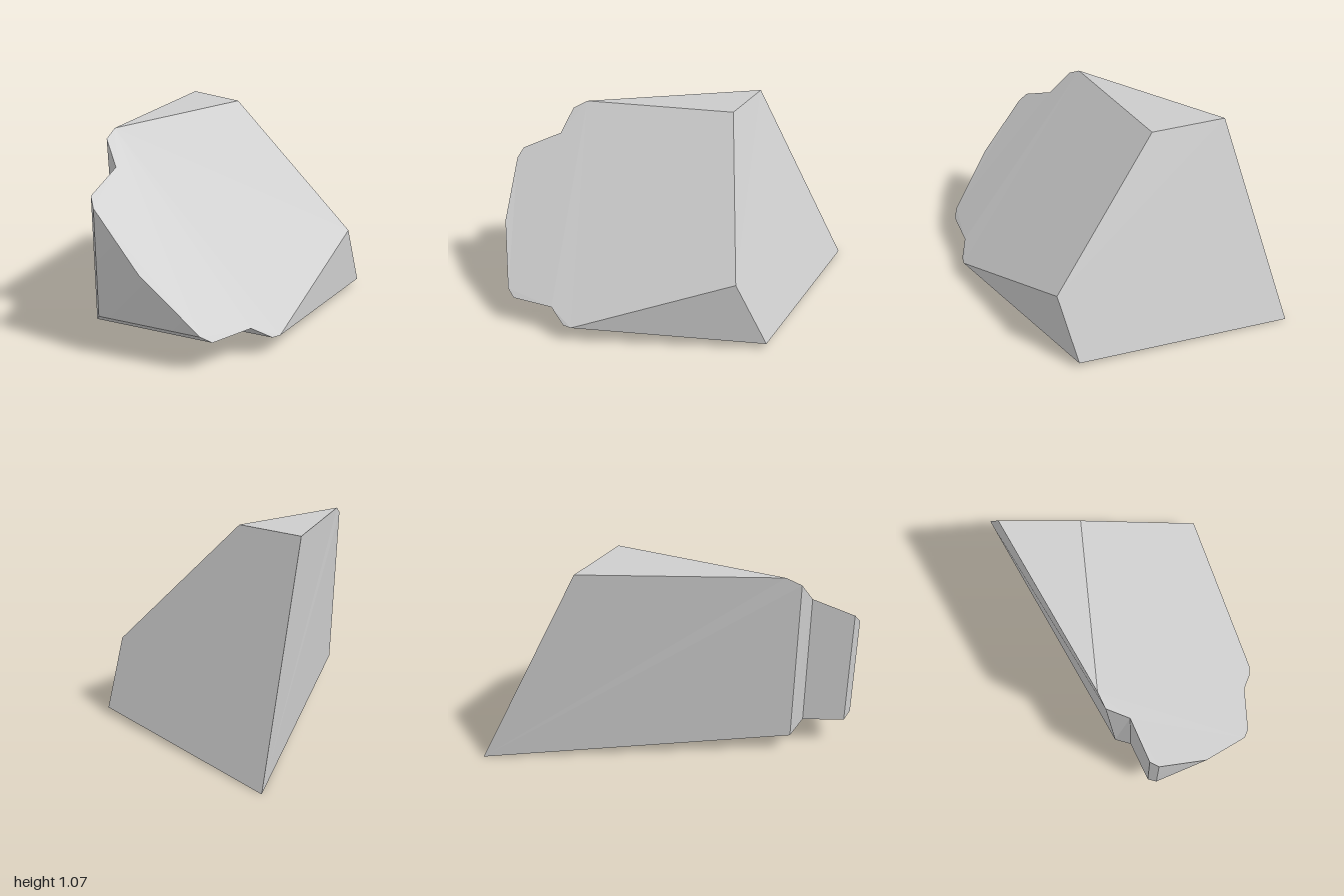
import * as THREE from 'three';

// Corner points, named by place.
const P = {
  backLow: [-0.54, 0.005, -1], backRight: [0.535, 0.035, -0.445],
  cutRight: [0.525, 0.385, -0.275], cutTop: [-0.165, 1.07, -0.28], backTop: [-0.54, 1.075, -0.46],
  // where the slanted cut crosses the block, shoulder, neck and tip
  a: [-0.46, 1.035, 0.55], b: [-0.457, 0.995, 0.63], c: [-0.362, 0.875, 0.7],
  d: [-0.362, 0.785, 0.92], e: [-0.327, 0.737, 0.955], tip: [-0.06, 0.46, 1],
  f: [0.23, 0.19, 0.955], g: [0.275, 0.156, 0.92], h: [0.37, 0.156, 0.7],
  i: [0.452, 0.095, 0.63], j: [0.475, 0.093, 0.587],
  // lower left corners of each step
  block: [-0.427, 0.095, 0.63], neckBack: [-0.362, 0.156, 0.7],
  neckFront: [-0.362, 0.156, 0.92], cap: [-0.327, 0.19, 0.955],
};

// Flat polygons (anticlockwise from outside), triangulated in their own plane.
function facets(faces) {
  const pos = [];
  for (const names of faces) {
    const pts = names.split(' ').map((n) => new THREE.Vector3(...P[n]));
    const normal = new THREE.Vector3();
    pts.forEach((p, k) => normal.add(p.clone().cross(pts[(k + 1) % pts.length])));
    normal.normalize();
    const u = pts[1].clone().sub(pts[0]);
    u.addScaledVector(normal, -u.dot(normal)).normalize();
    const v = normal.clone().cross(u);
    const flat = pts.map((p) => new THREE.Vector2(p.dot(u), p.dot(v)));
    for (const tri of THREE.ShapeUtils.triangulateShape(flat, [])) {
      for (const k of tri) pos.push(...pts[k].toArray());
    }
  }
  const geo = new THREE.BufferGeometry();
  geo.setAttribute('position', new THREE.Float32BufferAttribute(pos, 3));
  geo.computeVertexNormals();
  return geo;
}

export function createModel() {
  const group = new THREE.Group();
  group.name = 'cutBlock';
  const grey = new THREE.MeshStandardMaterial({ color: 0xcccccc });
  grey.name = 'light grey';
  const add = (name, geo) => {
    const mesh = new THREE.Mesh(geo, grey);
    mesh.name = name;
    group.add(mesh);
  };

  // Tapered block: back, top, underside, right corner, left side
  add('block', facets([
    'backTop cutTop cutRight backRight backLow',
    'backTop a cutTop',
    'backLow backRight j i block',
    'backRight cutRight j',
    'backLow block b a backTop',
  ]));
  // The large slanted cut through every step
  add('slantedCut', facets(['a b c d e tip f g h i j cutRight cutTop']));
  // Bevelled shoulder
  add('shoulder', facets(['block i h neckBack', 'block neckBack c b']));
  // Narrower neck
  add('neck', facets(['neckBack h g neckFront', 'neckBack neckFront d c']));
  // Bevelled rim around the tip
  add('rim', facets(['neckFront g f cap', 'neckFront cap e d']));

  // Softly shaded shallow tip, with shared corners for smooth normals
  const cap = new THREE.BufferGeometry();
  cap.setAttribute('position', new THREE.Float32BufferAttribute(
    [P.cap, P.f, P.tip, P.e].flat(), 3));
  cap.setIndex([0, 1, 2, 0, 2, 3]);
  cap.computeVertexNormals();
  add('tip', cap);

  return group;
}
